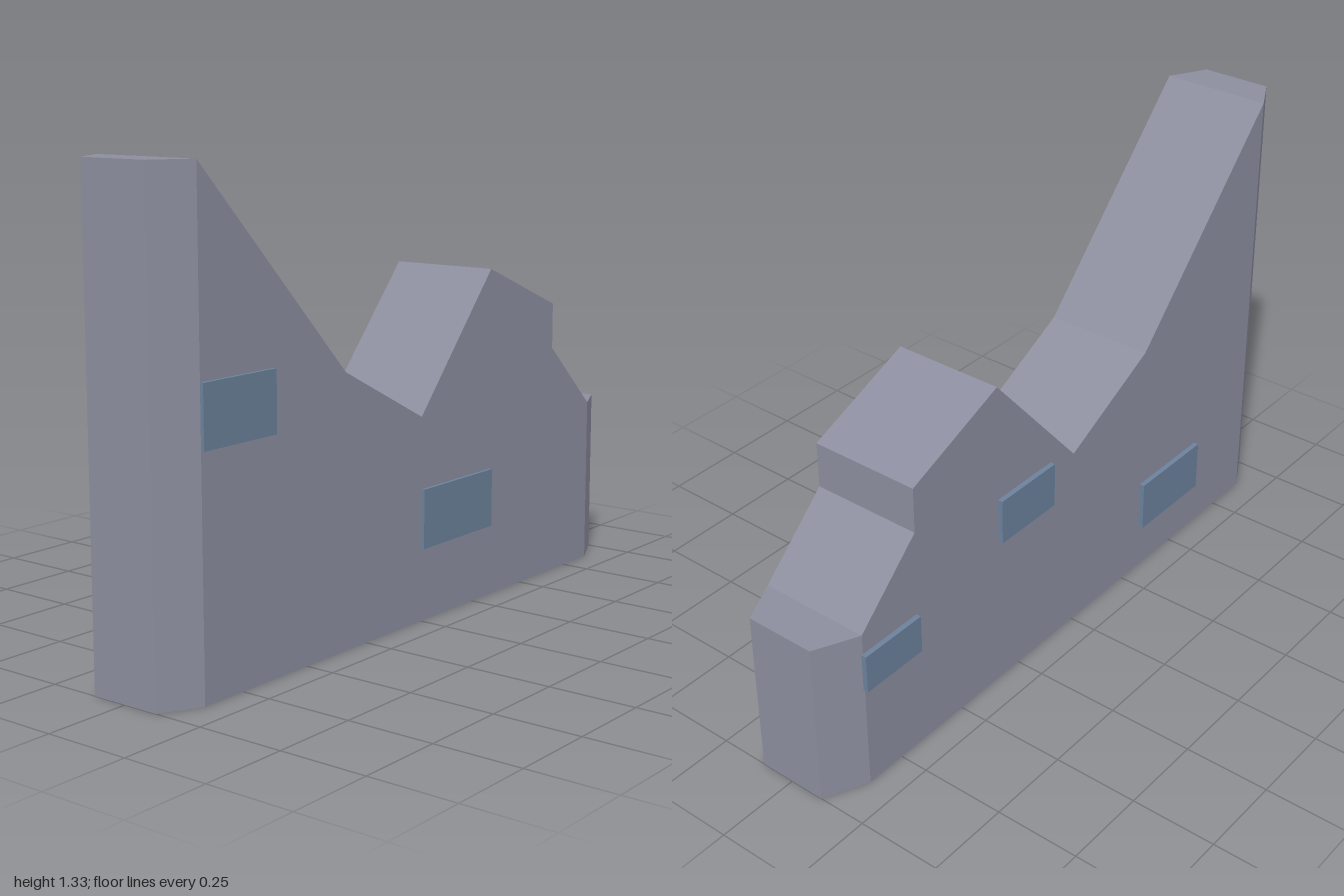
import * as THREE from 'three';

const BOTTOM = 0;
const HALF = 0.165; // half width of the body
const NOSE = 0.105; // half width at the chamfered ends

// Cross-sections from front to back: [z, top height, half width]
const SECTIONS = [
  [1, 1.333, NOSE],
  [0.89, 1.333, HALF],
  [0.335, 0.755, HALF],
  [0, 0.585, HALF],
  [-0.333, 0.965, HALF],
  [-0.665, 0.83, HALF],
  [-0.665, 0.695, HALF], // vertical step
  [-0.875, 0.497, HALF],
  [-1, 0.497, NOSE],
];

// Side panels: [side, zMin, zMax, yMin, yMax]
const PANELS = [
  [1, 0.623, 0.89, 0.638, 0.805],
  [1, -0.333, 0, 0.21, 0.38],
  [-1, -0.88, -0.67, 0.322, 0.437],
  [-1, -0.333, -0.105, 0.475, 0.612],
  [-1, 0.333, 0.62, 0.145, 0.3],
];

// Lofts rectangular rings into a closed, flat-faced solid
function loftGeometry(sections) {
  const rings = sections.map(([z, top, w]) => [
    [w, top, z], [-w, top, z], [-w, BOTTOM, z], [w, BOTTOM, z],
  ]);
  const positions = [];
  const quad = (a, b, c, d) => positions.push(...a, ...b, ...c, ...a, ...c, ...d);
  for (let i = 0; i < rings.length - 1; i++) {
    const r = rings[i], n = rings[i + 1];
    const isStep = sections[i][0] === sections[i + 1][0];
    for (let j = 0; j < (isStep ? 1 : 4); j++) {
      const k = (j + 1) % 4;
      quad(r[j], n[j], n[k], r[k]);
    }
  }
  quad(...rings[0]);
  quad(...rings[rings.length - 1].slice().reverse());
  const geometry = new THREE.BufferGeometry();
  geometry.setAttribute('position', new THREE.Float32BufferAttribute(positions, 3));
  geometry.computeVertexNormals();
  return geometry;
}

export function createModel() {
  const model = new THREE.Group();
  model.name = 'steppedWall';

  // Body with chamfered ends
  const bodyMaterial = new THREE.MeshStandardMaterial({ color: 0x8c8e9f, flatShading: true });
  const body = new THREE.Mesh(loftGeometry(SECTIONS), bodyMaterial);
  body.name = 'body';
  model.add(body);

  // Thin raised panels on both sides
  const panelMaterial = new THREE.MeshStandardMaterial({ color: 0x6c829c });
  PANELS.forEach(([side, z0, z1, y0, y1], i) => {
    const depth = side > 0 ? 0.01 : 0.015;
    const panel = new THREE.Mesh(new THREE.BoxGeometry(depth, y1 - y0, z1 - z0), panelMaterial);
    panel.position.set(side * (HALF + depth / 2), (y0 + y1) / 2, (z0 + z1) / 2);
    panel.name = `${side > 0 ? 'left' : 'right'}Panel${i + 1}`;
    model.add(panel);
  });

  return model;
}
